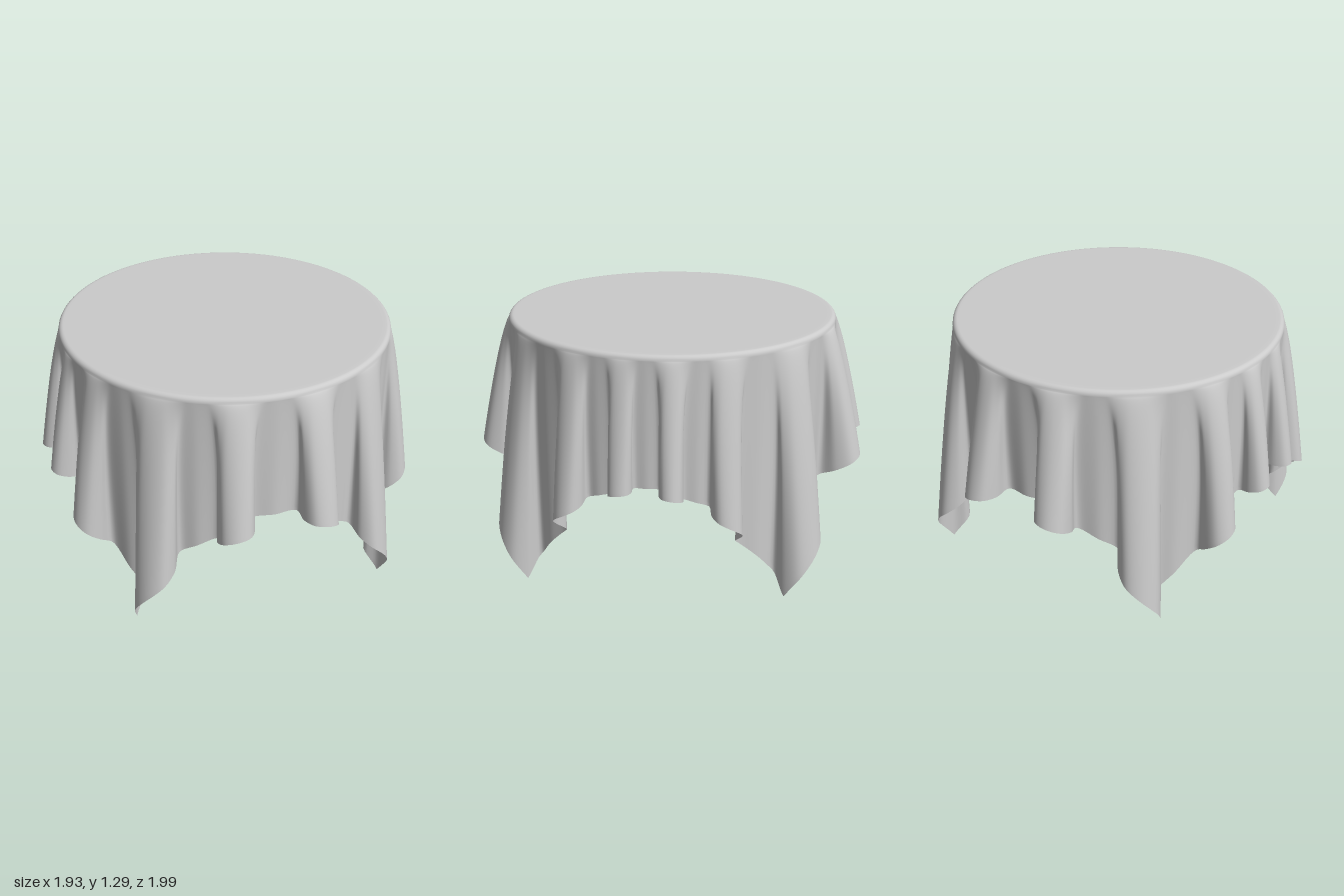
import * as THREE from 'three';

const TOP = 1.29;      // height of the table top
const RIM = 0.845;     // radius of the round top
const ROUND = 0.025;   // softness of the edge
const HALF = 1.508;    // half the side of the square cloth
const AROUND = 640, DROP = 44;

// Fold tips [x, z, half width], going round from +x towards +z
const FOLDS = [
  [0.935, 0.135, 0.06], [0.88, 0.425, 0.078], [0.62, 0.795, 0.11], [0.228, 0.985, 0.092],
  [-0.238, 0.985, 0.092], [-0.64, 0.795, 0.11], [-0.9, 0.425, 0.078], [-0.965, 0.135, 0.06],
  [-0.965, -0.13, 0.06], [-0.91, -0.415, 0.078], [-0.655, -0.795, 0.11], [-0.238, -1.0, 0.092],
  [0.225, -1.0, 0.092], [0.635, -0.795, 0.11], [0.888, -0.41, 0.078], [0.965, -0.13, 0.06],
];
// Steps across one fold: [share of depth, share of half width]
const FOLD_STEPS = [
  [-0.06, -0.88], [0.45, -0.98], [0.86, -0.7], [1, 0], [0.86, 0.7], [0.45, 0.98], [-0.06, 0.88],
];
const STEP = FOLD_STEPS.length + 1;

// Closed wavy outline of the hem seen from above: a valley, then the steps of each fold
function hemOutline() {
  const pts = [];
  const dirs = FOLDS.map(([x, z]) => new THREE.Vector3(x, 0, z).normalize());
  FOLDS.forEach(([x, z, w], i) => {
    const d = dirs[i];
    const n = new THREE.Vector3(-d.z, 0, d.x);
    const prev = dirs[(i + FOLDS.length - 1) % FOLDS.length];
    const depth = Math.hypot(x, z) - RIM;
    pts.push(prev.clone().add(d).setLength(RIM - 0.005));
    for (const [out, side] of FOLD_STEPS)
      pts.push(d.clone().multiplyScalar(RIM + depth * out).addScaledVector(n, w * side));
  });
  const curve = new THREE.CatmullRomCurve3(pts, true, 'centripetal');
  curve.arcLengthDivisions = pts.length * 20;
  return curve;
}

function clothGeometry() {
  const curve = hemOutline();
  const lengths = curve.getLengths();
  const total = lengths[lengths.length - 1];
  // Mid-sides of the cloth hang in valleys, its corners on the flank of a wide fold
  const anchors = [[0, 0], [2, 2], [4, 0], [5, 6], [8, 0], [10, 2], [12, 0], [13, 6], [16, 0]]
    .map(([fold, step]) => lengths[(fold * STEP + step) * 20] / total);

  const columns = [];
  for (let j = 0; j < AROUND; j++) {
    const octant = (j / AROUND) * 8, k = Math.floor(octant);
    const hem = curve.getPointAt(THREE.MathUtils.lerp(anchors[k], anchors[k + 1], octant - k));
    const angle = (j / AROUND) * Math.PI * 2;
    const c = Math.cos(angle), s = Math.sin(angle);
    const fall = HALF / Math.max(Math.abs(c), Math.abs(s)) - RIM;
    const out = Math.hypot(hem.x - RIM * c, hem.z - RIM * s);
    columns.push({
      angle,
      turn: Math.atan2(hem.z * c - hem.x * s, hem.x * c + hem.z * s),
      radius: Math.hypot(hem.x, hem.z),
      y: TOP - Math.sqrt(fall * fall - out * out),
    });
  }

  const position = [], index = [];
  const put = (r, y, a) => position.push(r * Math.cos(a), y, r * Math.sin(a));
  const flat = RIM - ROUND;
  // Flat top, then the rounded edge
  const rings = [[0, TOP], [flat * 0.5, TOP], [flat - 0.02, TOP]];
  for (let i = 0; i <= 5; i++) {
    const a = (i / 5) * Math.PI / 2;
    rings.push([flat + ROUND * Math.sin(a), TOP - ROUND + ROUND * Math.cos(a)]);
  }
  for (const [r, y] of rings)
    for (const { angle } of columns) put(r, y, angle);

  // Hanging part: cloth gathers sideways quickly, then the folds swing outwards
  for (let i = 1; i <= DROP; i++) {
    const v = Math.pow(i / DROP, 1.4);
    const gather = 1 - (1 - v) ** 3.2, swing = v ** 0.75;
    for (const { angle, turn, radius, y } of columns) {
      put(
        THREE.MathUtils.lerp(RIM, radius, swing),
        THREE.MathUtils.lerp(TOP - ROUND, y, v),
        angle + turn * gather,
      );
    }
  }

  const rows = rings.length + DROP;
  for (let r = 0; r < rows - 1; r++) {
    for (let j = 0; j < AROUND; j++) {
      const n = (j + 1) % AROUND;
      const a = r * AROUND + j, b = r * AROUND + n;
      const c = a + AROUND, d = b + AROUND;
      if (r > 0) index.push(a, b, c);
      index.push(b, d, c);
    }
  }
  const g = new THREE.BufferGeometry();
  g.setAttribute('position', new THREE.Float32BufferAttribute(position, 3));
  g.setIndex(index);
  g.computeVertexNormals();
  return g;
}

export function createModel() {
  const group = new THREE.Group();
  group.name = 'drapedTablecloth';
  const material = new THREE.MeshStandardMaterial({ color: 0xcccccc, side: THREE.DoubleSide });
  const cloth = new THREE.Mesh(clothGeometry(), material);
  cloth.name = 'tablecloth';
  group.add(cloth);
  return group;
}
